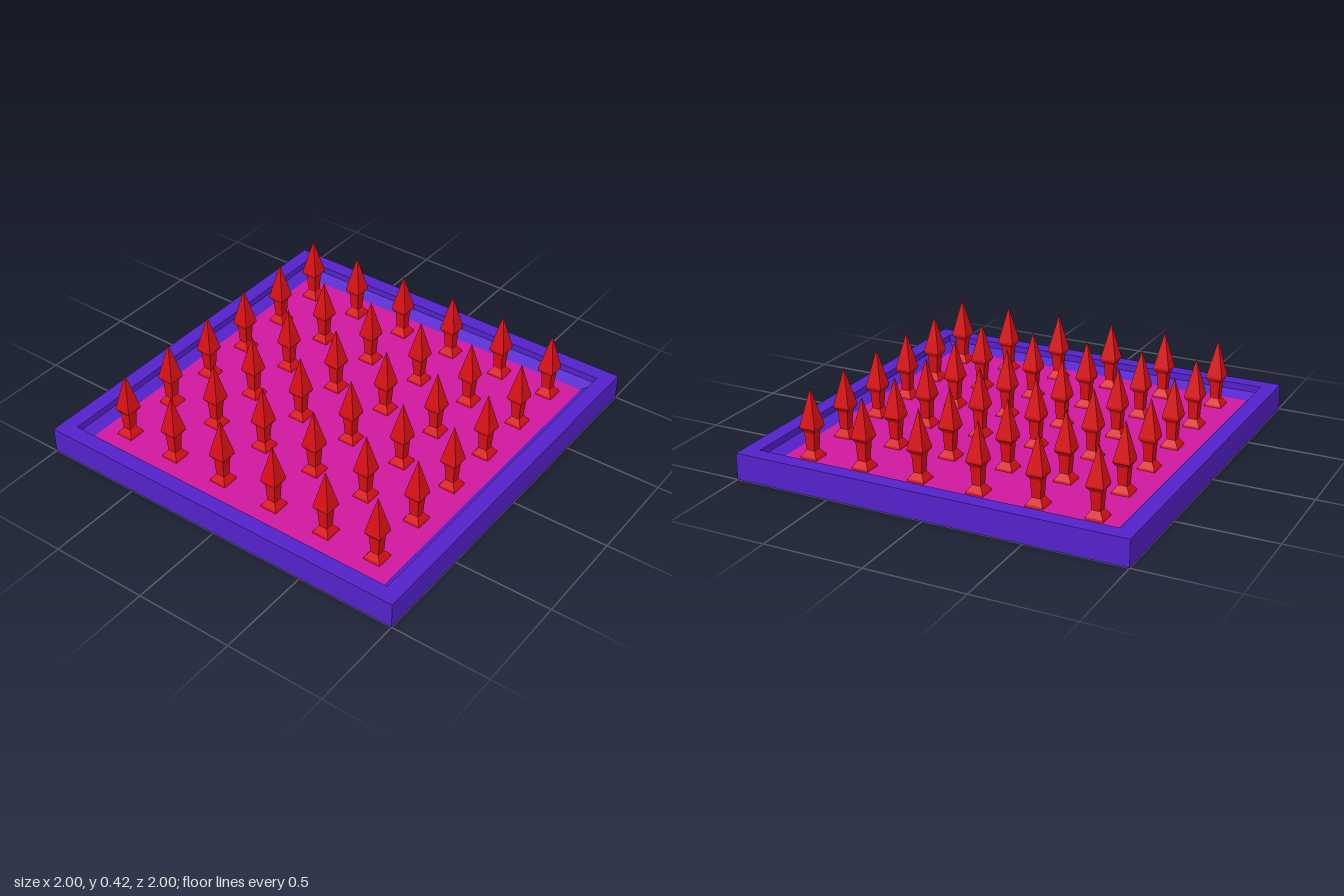
import * as THREE from 'three';

const material = (color) => new THREE.MeshStandardMaterial({ color, flatShading: true });

// Four-sided turned solid: profile points are [half width, height], from the bottom up.
function squareLathe(profile) {
  const points = profile.map(([w, y]) => new THREE.Vector2(w * Math.SQRT2, y));
  const geometry = new THREE.LatheGeometry(points, 4, Math.PI / 4).toNonIndexed();
  geometry.computeVertexNormals();
  return geometry;
}

export function createModel() {
  const group = new THREE.Group();
  const floorY = 0.07;

  // Shallow tray: underside, outer wall, rim, inner step and bevel
  const tray = new THREE.Mesh(
    squareLathe([[0, 0], [1, 0], [1, 0.135], [0.92, 0.135], [0.92, 0.1], [0.865, floorY]]),
    material(0x5522cc)
  );
  tray.name = 'tray';
  group.add(tray);

  // Sunken floor panel
  const floor = new THREE.Mesh(new THREE.PlaneGeometry(1.73, 1.73), material(0xd018a0));
  floor.rotation.x = -Math.PI / 2;
  floor.position.y = floorY;
  floor.name = 'floor';
  group.add(floor);

  // Spikes: flared foot, square stem and pyramid head
  const spikeGeometry = squareLathe([
    [0.045, floorY], [0.042, 0.08], [0.022, 0.11], [0.027, 0.2],
    [0.042, 0.222], [0.042, 0.232], [0, 0.422],
  ]);
  const red = material(0xd81015);
  const columns = [-0.74, -0.45, -0.15, 0.155, 0.455, 0.74];
  const rows = [-0.745, -0.453, -0.153, 0.138, 0.432, 0.742];
  const spikes = new THREE.Group();
  spikes.name = 'spikes';
  for (const z of rows) {
    for (const x of columns) {
      const spike = new THREE.Mesh(spikeGeometry, red);
      spike.position.set(x, 0, z);
      spike.name = 'spike';
      spikes.add(spike);
    }
  }
  group.add(spikes);
  return group;
}
